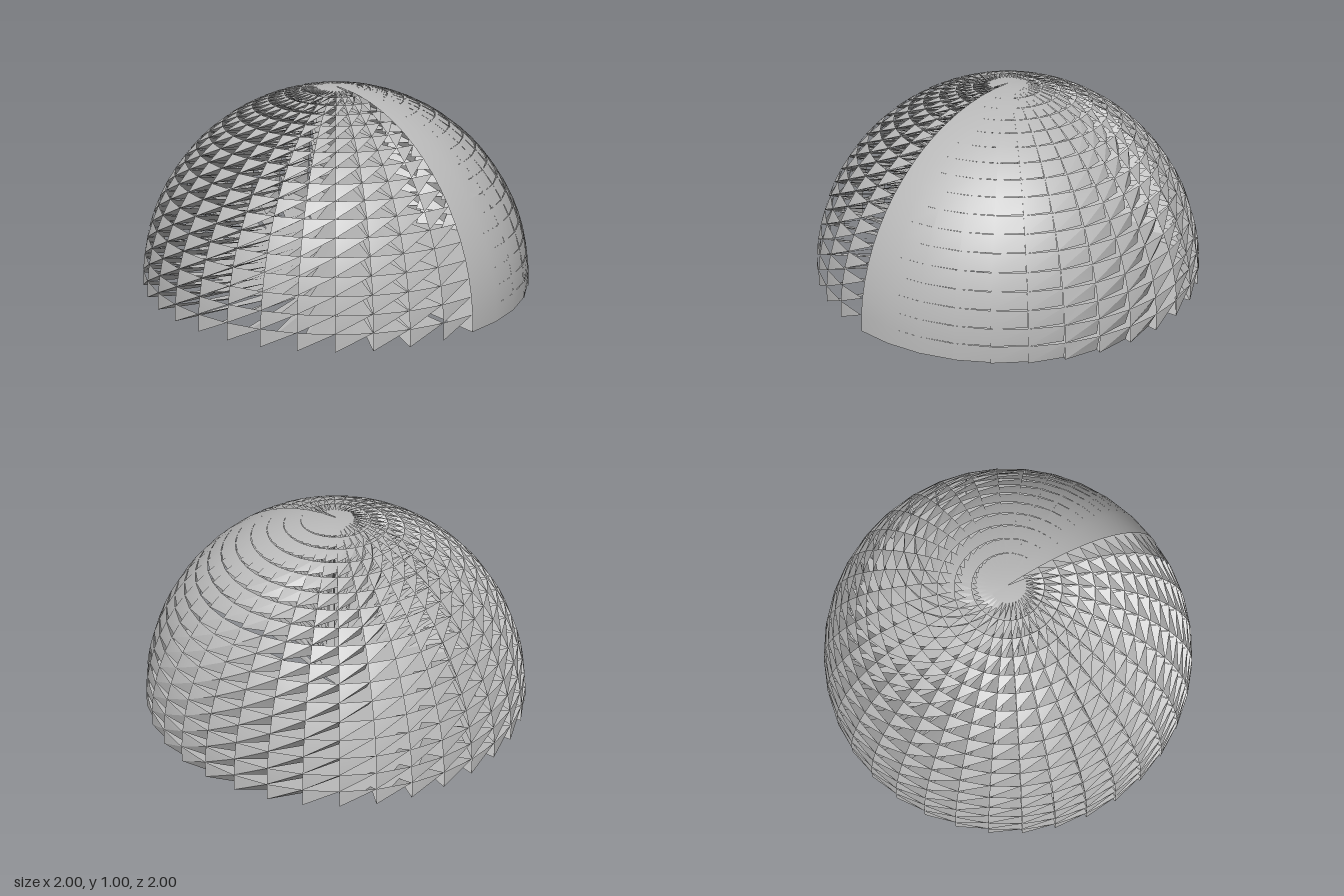
import * as THREE from 'three';
import { toCreasedNormals } from 'three/addons/utils/BufferGeometryUtils.js';

const COLS = 36, ROWS = 18;

// Point on the unit dome; inset pulls it towards the vertical axis
function domePoint(row, col, inset = 0) {
  const lat = (row / ROWS) * Math.PI / 2;
  const lon = (col / COLS) * Math.PI * 2;
  const r = Math.cos(lat) * (1 - inset);
  return [r * Math.cos(lon), Math.sin(lat), -r * Math.sin(lon)];
}

// The folds deepen steadily around the dome
const foldDepth = (col) => (col / COLS) ** 2;

function buildMesh(name, triangles, material) {
  const geometry = new THREE.BufferGeometry();
  geometry.setAttribute('position', new THREE.Float32BufferAttribute(triangles.flat(2), 3));
  geometry.computeVertexNormals();
  const mesh = new THREE.Mesh(toCreasedNormals(geometry, 0.3), material);
  mesh.name = name;
  return mesh;
}

export function createModel() {
  const grey = new THREE.MeshStandardMaterial({ color: 0xb8b8b8, side: THREE.DoubleSide });
  grey.name = 'grey';
  const shell = [], base = [];

  for (let row = 0; row < ROWS; row++) {
    for (let col = 0; col < COLS; col++) {
      const low = domePoint(row, col);
      const high = domePoint(row + 1, col);
      const nextHigh = domePoint(row + 1, col + 1);
      const inner = domePoint(row, col + 1, row === ROWS - 1 ? 0 : foldDepth(col));

      // Outer tooth, with its tip down
      if (row < ROWS - 1) shell.push([low, nextHigh, high]);
      // Inward fold beside the tooth; the last column stays open
      if (col < COLS - 1) shell.push([low, inner, nextHigh]);
      // Jagged floor
      if (row === 0 && col < COLS - 1) base.push([[0, 0, 0], inner, low]);
    }
  }

  const group = new THREE.Group();
  group.name = 'serratedDome';
  group.add(buildMesh('domeShell', shell, grey), buildMesh('domeFloor', base, grey));
  return group;
}
